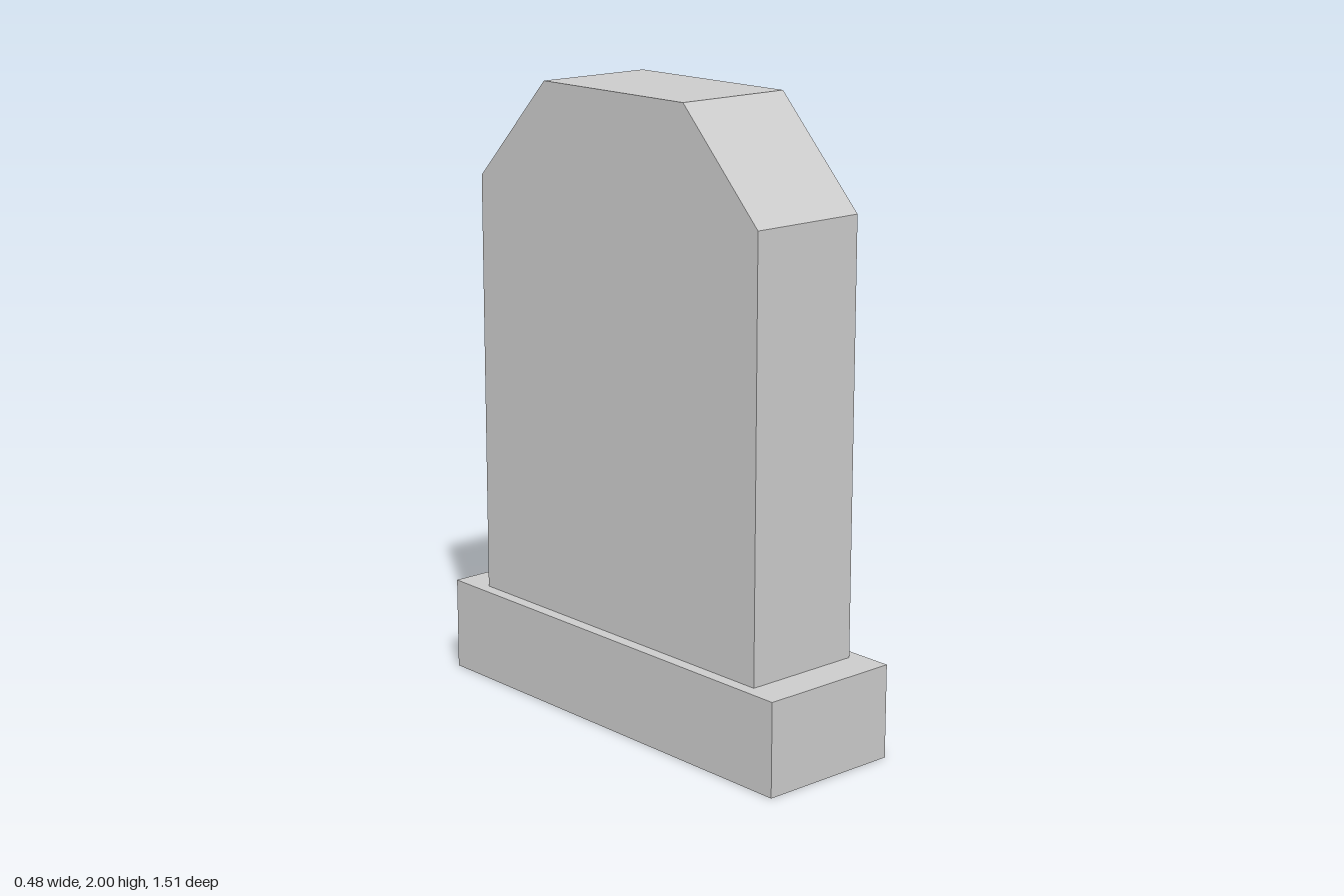
import * as THREE from 'three';

export function createModel() {
  const model = new THREE.Group();
  const stone = new THREE.MeshStandardMaterial({ color: 0xcccccc });
  stone.name = 'stone grey';

  // Plinth
  const baseHeight = 0.3;
  const base = new THREE.Mesh(new THREE.BoxGeometry(0.48, baseHeight, 1.51), stone);
  base.name = 'base';
  base.position.y = baseHeight / 2;
  model.add(base);

  // Upright slab with two chamfered top corners, thickness along x
  const halfWidth = 0.635, halfTop = 0.317, shoulder = 1.67, top = 2, thickness = 0.4;
  const outline = new THREE.Shape([
    new THREE.Vector2(-halfWidth, baseHeight),
    new THREE.Vector2(halfWidth, baseHeight),
    new THREE.Vector2(halfWidth, shoulder),
    new THREE.Vector2(halfTop, top),
    new THREE.Vector2(-halfTop, top),
    new THREE.Vector2(-halfWidth, shoulder),
  ]);
  const slabGeometry = new THREE.ExtrudeGeometry(outline, { depth: thickness, bevelEnabled: false });
  slabGeometry.translate(0, 0, -thickness / 2);
  slabGeometry.rotateY(Math.PI / 2);
  const slab = new THREE.Mesh(slabGeometry, stone);
  slab.name = 'slab';
  model.add(slab);

  return model;
}
